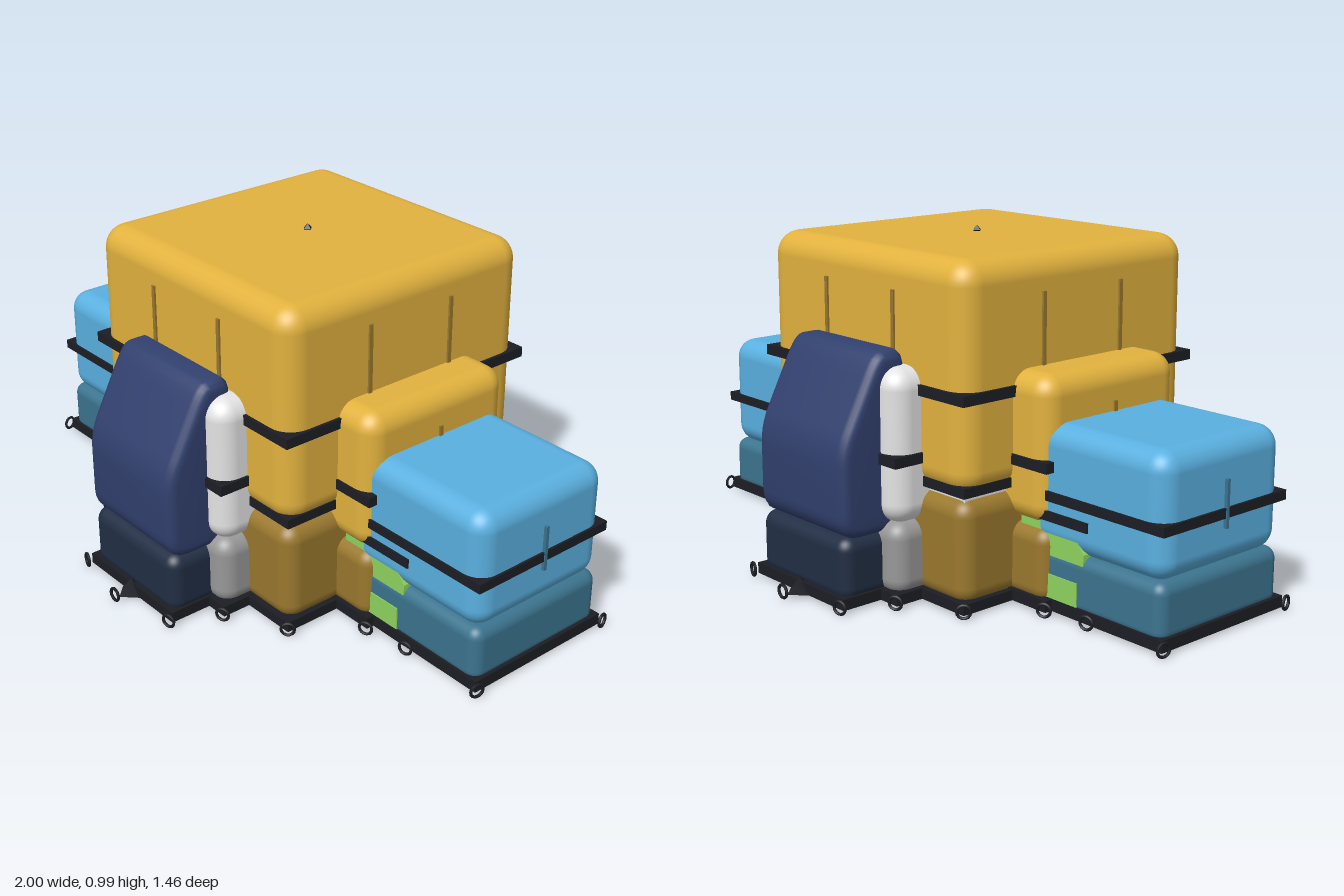
import * as THREE from 'three';
import { RoundedBoxGeometry } from 'three/addons/geometries/RoundedBoxGeometry.js';
import { toCreasedNormals } from 'three/addons/utils/BufferGeometryUtils.js';

const mat = (name, color) => {
  const m = new THREE.MeshStandardMaterial({ color });
  m.name = name;
  return m;
};

export function createModel() {
  const M = {
    yellow: mat('yellow', 0xe2b23e), darkYellow: mat('dark yellow', 0x9a782e),
    blue: mat('sky blue', 0x5ab0e0), darkBlue: mat('dark blue', 0x3c748f),
    navy: mat('navy', 0x31406e), darkNavy: mat('dark navy', 0x212e44),
    white: mat('white', 0xe4e4e4), grey: mat('grey', 0x989898),
    green: mat('green', 0x8fd45e), black: mat('black', 0x1c1e24),
  };
  const model = new THREE.Group();
  model.name = 'inflatableHouse';

  const add = (parent, name, geometry, material, x = 0, y = 0, z = 0) => {
    const mesh = new THREE.Mesh(geometry, material);
    mesh.name = name;
    mesh.position.set(x, y, z);
    parent.add(mesh);
    return mesh;
  };
  // boxes are given by their limits: [x0, x1, y0, y1, z0, z1]
  const box = (parent, name, material, [x0, x1, y0, y1, z0, z1], r = 0) => {
    const size = [x1 - x0, y1 - y0, z1 - z0];
    const g = r ? new RoundedBoxGeometry(...size, 5, r) : new THREE.BoxGeometry(...size);
    return add(parent, name, g, material, (x0 + x1) / 2, (y0 + y1) / 2, (z0 + z1) / 2);
  };
  // a wing is built once and repeated, turned half way round
  const pair = (name, wing) => {
    wing.name = name + 'A';
    const other = wing.clone();
    other.name = name + 'B';
    other.rotation.y = Math.PI;
    model.add(wing, other);
  };

  // central hall
  box(model, 'hallUpper', M.yellow, [-0.44, 0.44, 0.325, 0.97, -0.44, 0.44], 0.07);
  box(model, 'hallCore', M.white, [-0.41, 0.41, 0.25, 0.4, -0.41, 0.41]);
  box(model, 'hallLower', M.darkYellow, [-0.44, 0.44, 0.02, 0.32, -0.44, 0.44], 0.05);
  box(model, 'hallBelt', M.black, [-0.45, 0.45, 0.59, 0.62, -0.45, 0.45]);
  box(model, 'hallLowerBelt', M.black, [-0.435, 0.435, 0.332, 0.36, -0.435, 0.435]);
  box(model, 'hallBase', M.black, [-0.45, 0.45, 0.01, 0.04, -0.45, 0.45]);
  add(model, 'roofKnob', new THREE.OctahedronGeometry(0.015), M.black, 0, 0.973, 0);

  // vertical seams on the four hall walls
  for (let side = 0; side < 4; side++) {
    const wall = new THREE.Group();
    wall.name = 'wallSeams' + side;
    wall.rotation.y = side * Math.PI / 2;
    for (const x of [-0.15, 0.15])
      box(wall, 'seam', M.darkYellow, [x - 0.006, x + 0.006, 0.62, 0.865, 0.437, 0.446]);
    model.add(wall);
  }

  // front and back wings: pale neck and sloping navy end
  const front = new THREE.Group();
  box(front, 'neckUpper', M.white, [-0.265, 0.265, 0.225, 0.665, 0.2, 0.53], 0.06);
  box(front, 'neckLower', M.grey, [-0.265, 0.265, 0.02, 0.235, 0.2, 0.53], 0.05);
  box(front, 'neckBelt', M.black, [-0.272, 0.272, 0.4, 0.43, 0.2, 0.538]);
  box(front, 'neckBase', M.black, [-0.275, 0.275, 0.01, 0.041, 0.2, 0.54]);
  box(front, 'endLower', M.darkNavy, [-0.2, 0.2, 0.02, 0.205, 0.4, 0.66], 0.04);
  box(front, 'endBase', M.black, [-0.205, 0.205, 0.01, 0.042, 0.4, 0.67]);

  // sloping end: rounded side profile, extruded across
  const profile = [[0.45, 0.225], [0.633, 0.225], [0.633, 0.45], [0.515, 0.68], [0.46, 0.68]]
    .map(p => new THREE.Vector2(...p));
  const shape = new THREE.Shape();
  profile.forEach((p, i) => {
    const n = profile.length;
    const a = p.clone().lerp(profile[(i + n - 1) % n], 0.2);
    const b = p.clone().lerp(profile[(i + 1) % n], 0.2);
    if (i) shape.lineTo(a.x, a.y);
    else shape.moveTo(a.x, a.y);
    shape.quadraticCurveTo(p.x, p.y, b.x, b.y);
  });
  shape.closePath();
  const slope = new THREE.ExtrudeGeometry(shape, {
    depth: 0.34, bevelEnabled: true, bevelSize: 0.028, bevelThickness: 0.03,
    bevelSegments: 4, curveSegments: 5,
  });
  slope.translate(0, 0, -0.17).rotateY(-Math.PI / 2);
  add(front, 'endUpper', toCreasedNormals(slope, 0.7), M.navy);

  // pointed tip of the base
  const tip = new THREE.ConeGeometry(0.045, 0.045, 4);
  add(front, 'baseTip', tip, M.black, 0, 0.032, 0.667);
  pair('endWing', front);

  // side wings: yellow link, green passage and blue room
  const side = new THREE.Group();
  box(side, 'linkUpper', M.yellow, [0.3, 0.57, 0.24, 0.66, -0.262, 0.262], 0.06);
  box(side, 'linkLower', M.darkYellow, [0.3, 0.57, 0.02, 0.235, -0.262, 0.262], 0.045);
  box(side, 'linkBelt', M.black, [0.3, 0.577, 0.4, 0.43, -0.268, 0.268]);
  box(side, 'linkBase', M.black, [0.3, 0.58, 0.01, 0.043, -0.27, 0.27]);
  box(side, 'linkSeam', M.darkYellow, [0.567, 0.576, 0.45, 0.56, -0.006, 0.006]);

  box(side, 'passageLower', M.green, [0.45, 0.67, 0.02, 0.112, -0.243, 0.243]);
  const roof = new THREE.Shape();
  [[0.45, 0.16], [0.69, 0.16], [0.69, 0.195], [0.64, 0.26], [0.56, 0.305], [0.45, 0.305]]
    .forEach(([x, y], i) => (i ? roof.lineTo(x, y) : roof.moveTo(x, y)));
  const passage = new THREE.ExtrudeGeometry(roof, { depth: 0.476, bevelEnabled: false });
  add(side, 'passageUpper', passage, M.green, 0, 0, -0.238);
  box(side, 'passageBelt', M.black, [0.45, 0.708, 0.262, 0.29, -0.246, 0.246]);

  box(side, 'roomUpper', M.blue, [0.48, 0.97, 0.18, 0.53, -0.24, 0.24], 0.06);
  box(side, 'roomLower', M.darkBlue, [0.48, 0.97, 0.02, 0.187, -0.24, 0.24], 0.035);
  box(side, 'roomBelt', M.black, [0.48, 0.977, 0.318, 0.346, -0.246, 0.246]);
  box(side, 'roomBase', M.black, [0.48, 0.98, 0.01, 0.044, -0.246, 0.246]);
  box(side, 'roomSeam', M.darkBlue, [0.967, 0.98, 0.29, 0.425, -0.005, 0.005]);
  pair('sideWing', side);

  // anchor rings around the base: x, z and outward yaw
  const ring = new THREE.TorusGeometry(0.019, 0.0045, 6, 14);
  const anchors = [
    [0.99, 0.25, 1.33], [0.73, 0.265, 0.26], [0.59, 0.285, 0.45],
    [0.455, 0.455, 0.78], [0.28, 0.55, 0.47], [0.207, 0.685, 0.28],
  ];
  const addRing = (x, z, yaw) => {
    add(model, 'anchorRing', ring, M.black, x, 0.0245, z).rotation.y = yaw;
  };
  for (const sx of [-1, 1])
    for (const sz of [-1, 1])
      for (const [x, z, yaw] of anchors) addRing(x * sx, z * sz, yaw * sx * sz);
  for (const z of [-0.727, 0.727]) addRing(0, z, 0);

  return model;
}
